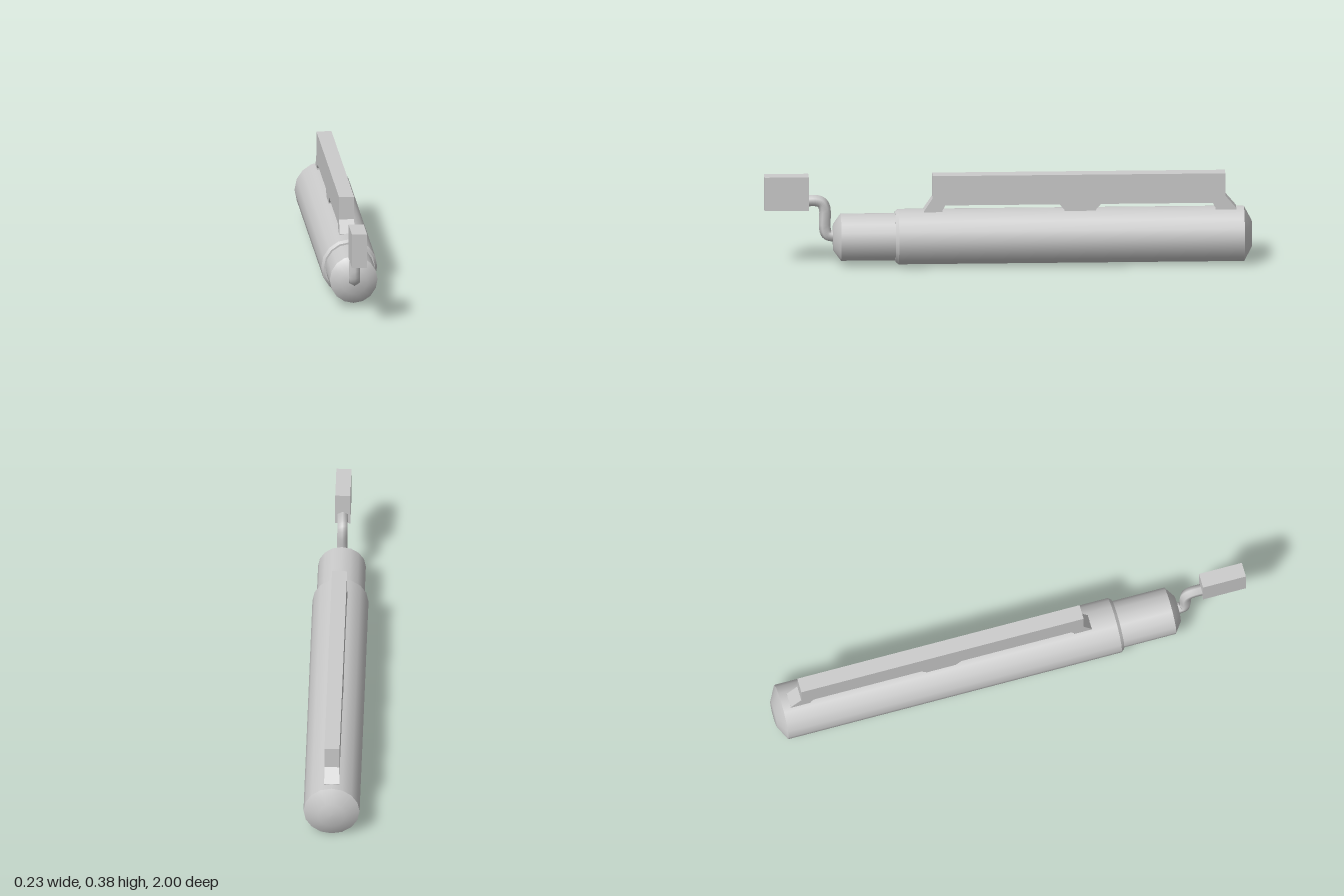
import * as THREE from 'three';
import { ParametricGeometry } from 'three/addons/geometries/ParametricGeometry.js';

const mat = new THREE.MeshStandardMaterial({ color: 0xcccccc });
const AXIS_Y = 0.116;

function add(parent, name, geometry) {
  const mesh = new THREE.Mesh(geometry, mat);
  mesh.name = name;
  parent.add(mesh);
  return mesh;
}

// 16-sided surface of revolution along z; points are [radius, z], back to front
function turned(parent, name, points) {
  const g = new THREE.LatheGeometry(points.map(([r, z]) => new THREE.Vector2(r, z)), 16);
  g.rotateX(Math.PI / 2);
  g.translate(0, AXIS_Y, 0);
  return add(parent, name, g);
}

// Six-sided rod swept along a curve in the yz plane, ridge facing down
function rod(curve, radius) {
  return new ParametricGeometry((u, v, out) => {
    const p = curve.getPoint(u), t = curve.getTangent(u);
    const a = v * Math.PI * 2 + Math.PI / 2;
    const c = Math.cos(a) * radius, s = Math.sin(a) * radius;
    out.set(c, p.y - t.z * s, p.z + t.y * s);
  }, 24, 6);
}

export function createModel() {
  const group = new THREE.Group();

  // Main barrel with domed back and bevelled front rim
  const barrel = new THREE.Group();
  barrel.name = 'barrel';
  group.add(barrel);
  turned(barrel, 'backCap', [[0, -1], [0.055, -0.999], [0.115, -0.967]]);
  turned(barrel, 'barrelWall', [[0.115, -0.967], [0.115, 0.45]]);
  turned(barrel, 'barrelRim', [[0.115, 0.45], [0.105, 0.463]]);
  turned(barrel, 'barrelShoulder', [[0.105, 0.463], [0.09, 0.463]]);

  // Narrower front section
  const nose = new THREE.Group();
  nose.name = 'nose';
  group.add(nose);
  turned(nose, 'noseWall', [[0.098, 0.44], [0.098, 0.686]]);
  turned(nose, 'noseCap', [[0.098, 0.686], [0.055, 0.717], [0, 0.719]]);

  // S-shaped crank rod
  const P = (y, z) => new THREE.Vector3(0, y, z);
  const path = new THREE.CatmullRomCurve3([
    P(0.122, 0.69), P(0.122, 0.72), P(0.13, 0.742), P(0.155, 0.751), P(0.235, 0.751),
    P(0.261, 0.762), P(0.271, 0.785), P(0.271, 0.83),
  ]);
  add(group, 'crankRod', rod(path, 0.024));

  // Block at the end of the crank
  add(group, 'crankBlock', new THREE.BoxGeometry(0.062, 0.141, 0.182))
    .position.set(0, 0.307, 0.909);

  // Long top rail standing on three feet, profile as [z, y]
  const profile = [
    [0.31, 0.377], [0.31, 0.283], [0.345, 0.23], [0.345, 0.2], [0.27, 0.2], [0.27, 0.232], [0.258, 0.253],
    [-0.21, 0.253], [-0.23, 0.23], [-0.23, 0.2], [-0.36, 0.2], [-0.36, 0.23], [-0.38, 0.253],
    [-0.838, 0.253], [-0.85, 0.232], [-0.85, 0.2], [-0.935, 0.2], [-0.935, 0.23], [-0.89, 0.283], [-0.89, 0.377],
  ];
  const rail = new THREE.ExtrudeGeometry(
    new THREE.Shape(profile.map(([z, y]) => new THREE.Vector2(-z, y))),
    { depth: 0.062, bevelEnabled: false });
  rail.translate(0, 0, -0.031);
  rail.rotateY(Math.PI / 2);
  add(group, 'topRail', rail);

  return group;
}
